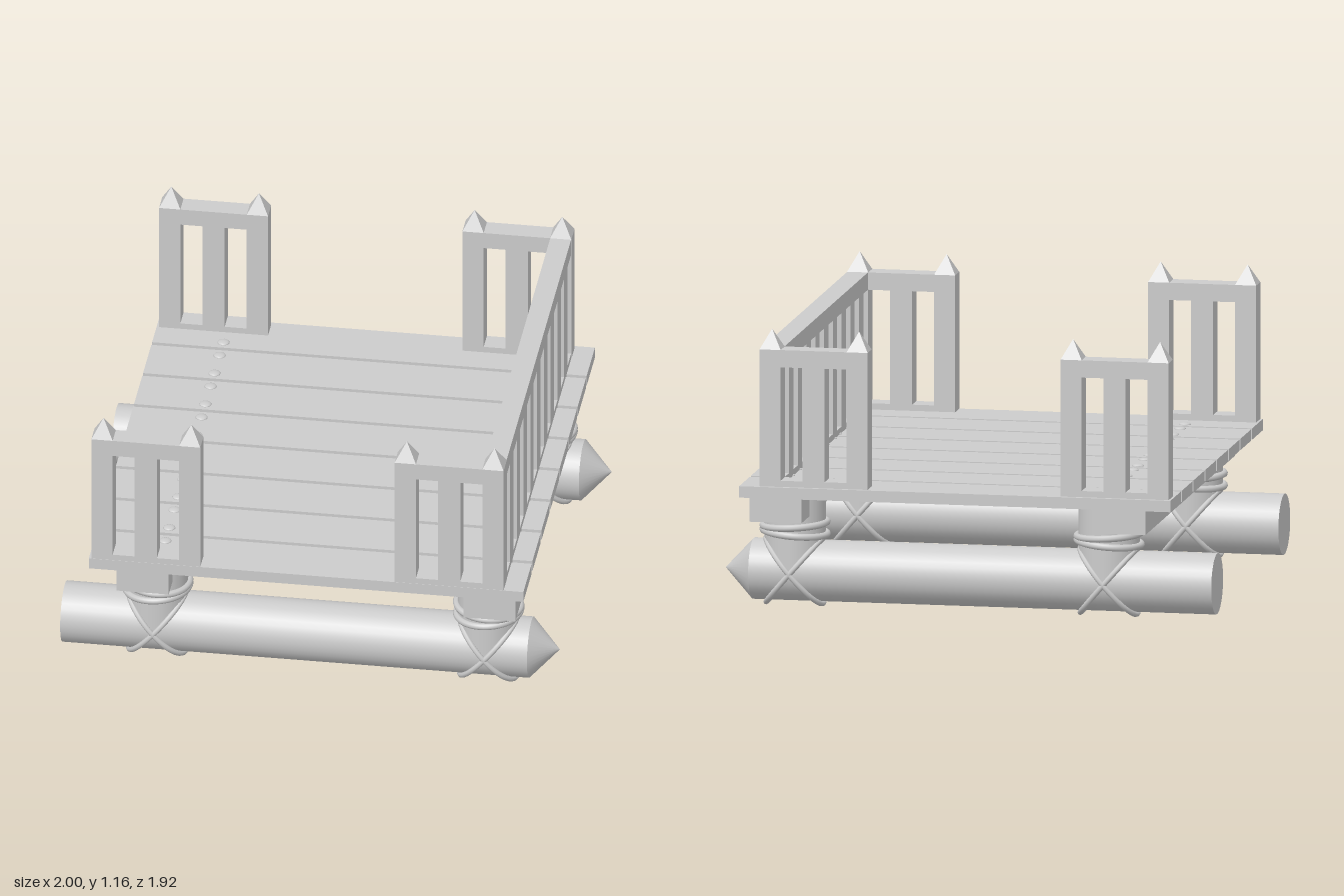
import * as THREE from 'three';

const wood = new THREE.MeshStandardMaterial({ color: 0xcccccc });
const flatWood = new THREE.MeshStandardMaterial({ color: 0xcccccc, flatShading: true });

const LOG_R = 0.123, LOG_Y = 0.145;
const DECK_TOP = 0.53, RAIL_TOP = 1.085, RAIL_UNDER = 1.015, SILL = 0.555;
const POST_W = 0.086;

export function createModel() {
  const model = new THREE.Group();

  const add = (parent, name, geometry, x, y, z, material = wood) => {
    const mesh = new THREE.Mesh(geometry, material);
    mesh.name = name;
    mesh.position.set(x, y, z);
    parent.add(mesh);
    return mesh;
  };
  // Box given by its lower and upper limits on each axis
  const box = (parent, name, x0, x1, y0, y1, z0, z1) =>
    add(parent, name, new THREE.BoxGeometry(x1 - x0, y1 - y0, z1 - z0),
      (x0 + x1) / 2, (y0 + y1) / 2, (z0 + z1) / 2, flatWood);
  const group = (name) => {
    const g = new THREE.Group();
    g.name = name;
    model.add(g);
    return g;
  };

  // Closed rope loop through points given by an angle
  const rope = (parent, name, pointAt, thickness) => {
    const points = [];
    for (let i = 0; i < 24; i++) points.push(pointAt((i / 24) * Math.PI * 2));
    const curve = new THREE.CatmullRomCurve3(points, true);
    add(parent, name, new THREE.TubeGeometry(curve, 56, thickness, 8, true), 0, 0, 0);
  };

  // Floating logs with pointed ends, stub posts and rope lashings
  const floats = [
    { z: 0.735, stubs: [-0.625, 0.712] },
    { z: -0.657, stubs: [-0.56, 0.718] },
  ];
  for (const { z, stubs } of floats) {
    const float = group('float');
    add(float, 'log', new THREE.CylinderGeometry(LOG_R, LOG_R, 1.885, 32), -0.0575, LOG_Y, z)
      .rotation.z = -Math.PI / 2;
    add(float, 'logTip', new THREE.ConeGeometry(LOG_R, 0.115, 32), 0.9425, LOG_Y, z)
      .rotation.z = -Math.PI / 2;

    for (const x of stubs) {
      add(float, 'stubPost', new THREE.CylinderGeometry(LOG_R, LOG_R, 0.33, 32), x, 0.31, z);
      // Two slightly tilted coils round the post
      for (const [y, tilt] of [[0.333, -0.008], [0.301, 0.01]]) {
        rope(float, 'postCoil', (a) => new THREE.Vector3(
          x + 0.129 * Math.cos(a), y + tilt * Math.cos(a), z + 0.129 * Math.sin(a)), 0.014);
      }
      // Crossed loops round the log
      for (const side of [-1, 1]) {
        rope(float, 'crossLashing', (a) => new THREE.Vector3(
          x + side * 0.115 * Math.cos(a), LOG_Y + 0.133 * Math.cos(a), z + 0.133 * Math.sin(a)), 0.011);
      }
    }
  }

  // Cross beams under the deck
  for (const [x0, x1] of [[-0.76, -0.55], [0.64, 0.85]]) {
    box(model, 'crossBeam', x0, x1, 0.38, 0.485, -0.925, 0.935);
  }

  // Deck planks, each nailed twice to both beams
  const deck = group('deck');
  const pitch = 0.2425, plankW = 0.222;
  const nailHead = new THREE.SphereGeometry(0.025, 12, 8);
  for (let i = 0; i < 8; i++) {
    const z = -0.856 + i * pitch;
    box(deck, 'plank', -0.87, 0.885, 0.484, DECK_TOP, z - plankW / 2, z + plankW / 2);
    for (const x of [-0.588, 0.737]) {
      for (const dz of [-0.07, 0.07]) {
        add(deck, 'nailHead', nailHead, x, DECK_TOP, z + dz).scale.y = 0.35;
      }
    }
  }

  // Post with a pyramid cap
  const cappedPost = (parent, x, z) => {
    const h = POST_W / 2;
    box(parent, 'railPost', x - h, x + h, DECK_TOP - 0.01, RAIL_TOP, z - h, z + h);
    const cap = new THREE.ConeGeometry(h * Math.SQRT2, 0.078, 4).rotateY(Math.PI / 4);
    add(parent, 'postCap', cap, x, RAIL_TOP + 0.039, z, flatWood);
  };

  // Short railings at the four corners, leaving an opening front and back
  for (const z of [0.908, -0.908]) {
    for (const x of [-0.64, 0.585]) {
      const railing = group('cornerRailing');
      const h = POST_W / 2, reach = 0.177;
      cappedPost(railing, x - reach, z);
      cappedPost(railing, x + reach, z);
      const inner = reach - h;
      box(railing, 'topRail', x - inner, x + inner, RAIL_UNDER, RAIL_TOP, z - h, z + h);
      box(railing, 'bottomRail', x - inner, x + inner, DECK_TOP - 0.01, SILL, z - h, z + h);
      box(railing, 'baluster', x - 0.045, x + 0.045, SILL, RAIL_UNDER, z - h, z + h);
    }
  }

  // Long side railing between the left corner posts
  const side = group('sideRailing');
  const x0 = 0.72, x1 = 0.804, end = 0.865;
  box(side, 'topRail', x0, x1, RAIL_UNDER, RAIL_TOP, -end, end);
  box(side, 'bottomRail', x0, x1, 0.505, SILL, -end, end);
  for (let i = -4; i <= 4; i++) {
    const z = i * 0.1815;
    box(side, 'baluster', x0, x1, SILL, RAIL_UNDER, z - 0.045, z + 0.045);
  }

  return model;
}
